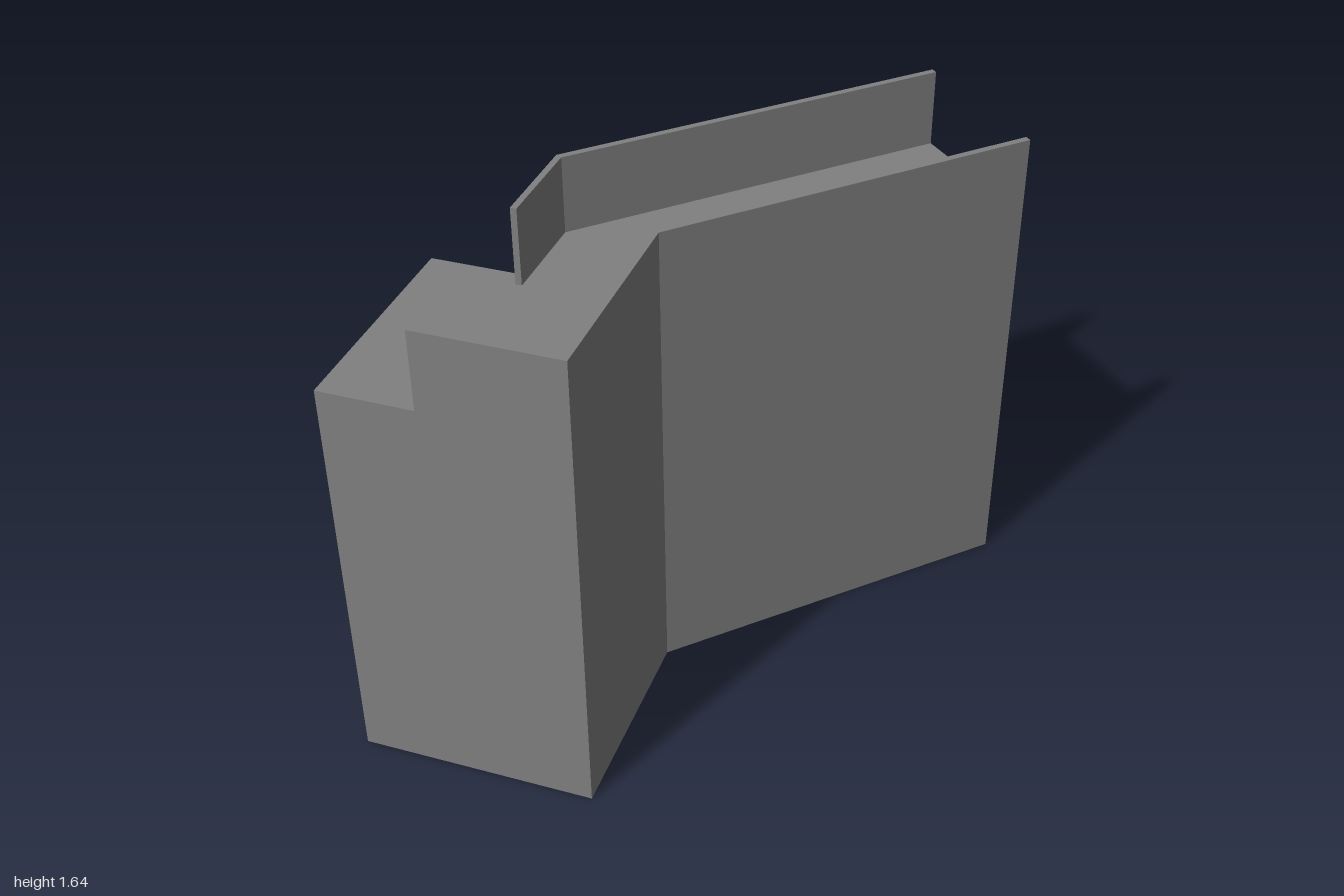
import * as THREE from 'three';

const material = new THREE.MeshStandardMaterial({ color: 0x808080, flatShading: true });

// Upright prism: plan is a list of [x, z] corners, standing from y0 to y1
function prism(name, plan, y0, y1) {
  const shape = new THREE.Shape(plan.map(([x, z]) => new THREE.Vector2(x, -z)));
  const geometry = new THREE.ExtrudeGeometry(shape, { depth: y1 - y0, bevelEnabled: false });
  geometry.rotateX(-Math.PI / 2);
  geometry.translate(0, y0, 0);
  const mesh = new THREE.Mesh(geometry, material);
  mesh.name = name;
  return mesh;
}

export function createModel() {
  const group = new THREE.Group();
  group.name = 'bentCorridor';
  const FLOOR = 0.08, CEILING = 0.91, DECK = 1.375, TOP = 1.64;

  // Full-height walls, rising past the deck as parapets
  const outerWall = [[-0.532, 1], [-0.068, 1], [-0.068, 0.307], [0.838, -0.6],
    [0.822, -0.616], [-0.089, 0.295], [-0.089, 0.975], [-0.532, 0.975]];
  const innerWall = [[0.433, -1], [-0.529, -0.038], [-0.532, 0.31],
    [-0.511, 0.31], [-0.508, -0.027], [0.449, -0.984]];
  group.add(prism('outerWall', outerWall, 0, TOP));
  group.add(prism('innerWall', innerWall, 0, TOP));

  // Thicker lower walls either side of the side entrance; the front one lines the outer wall
  const entranceFront = [[-0.84, 0.94], [-0.84, 1], [-0.532, 1], [-0.532, 0.975],
    [-0.089, 0.975], [-0.089, 0.94]];
  const entranceBack = [[-0.84, 0.25], [-0.84, 0.31], [-0.532, 0.31], [-0.532, 0.25]];
  group.add(prism('entranceFrontWall', entranceFront, 0, DECK));
  group.add(prism('entranceBackWall', entranceBack, 0, DECK));

  // Floor and thick roof filling the passage between the walls
  const passage = [[-0.84, 0.94], [-0.089, 0.94], [-0.089, 0.295], [0.822, -0.616],
    [0.449, -0.984], [-0.508, -0.027], [-0.511, 0.31], [-0.84, 0.31]];
  group.add(prism('floor', passage, 0, FLOOR));
  group.add(prism('roofDeck', passage, CEILING, DECK));

  return group;
}
